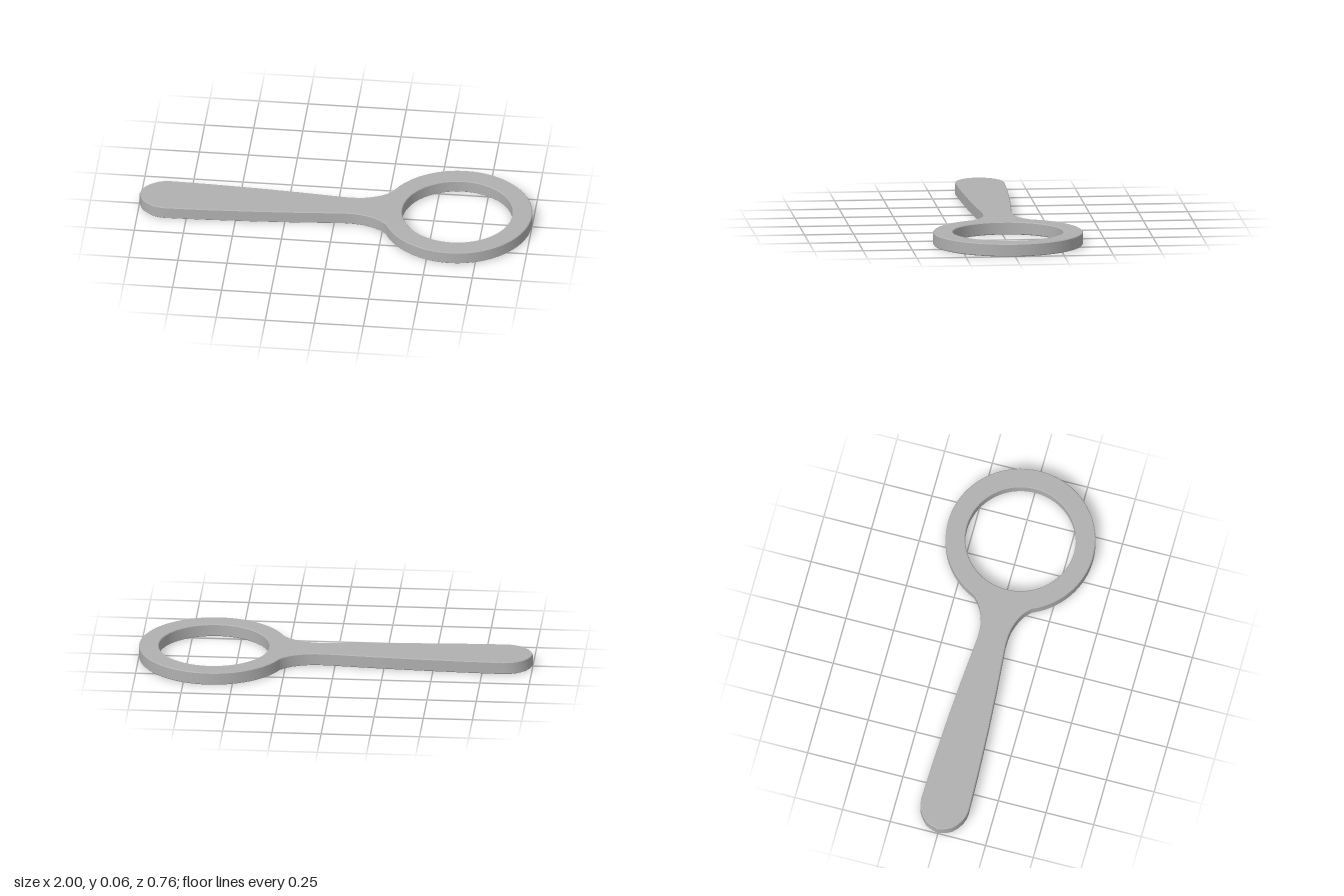
import * as THREE from 'three';
import { toCreasedNormals } from 'three/addons/utils/BufferGeometryUtils.js';

export function createModel() {
  const grey = new THREE.MeshStandardMaterial({ color: 0xb0b0b0 });
  grey.name = 'grey';

  const height = 0.065, bevel = 0.004;
  const ringX = 0.62, outerR = 0.38, innerR = 0.28;
  const joint = Math.PI - 0.41; // angle where the handle meets the ring

  // One half of the handle outline, from the ring to the butt
  const half = [
    [0.24, 0.122], [0.21, 0.104], [0.175, 0.09], [0.14, 0.08], [0.1, 0.075], [0.05, 0.074],
    [0, 0.078], [-0.2, 0.094], [-0.4, 0.107], [-0.65, 0.119], [-0.86, 0.125],
    [-0.89, 0.121], [-0.92, 0.111], [-0.95, 0.091], [-0.975, 0.067], [-0.988, 0.04],
  ];

  // Ring rim, upper handle edge, tip, then the mirrored lower edge
  const outline = new THREE.Shape();
  outline.absarc(ringX, 0, outerR, -joint, joint, false);
  half.forEach(([x, y]) => outline.lineTo(x, y));
  outline.lineTo(-1, 0);
  [...half].reverse().forEach(([x, y]) => outline.lineTo(x, -y));
  outline.closePath();

  const hole = new THREE.Path();
  hole.absarc(ringX, 0, innerR, 0, Math.PI * 2, true);
  outline.holes.push(hole);

  // Flat plate with finely chamfered edges
  const plate = new THREE.ExtrudeGeometry(outline, {
    depth: height - 2 * bevel,
    bevelThickness: bevel,
    bevelSize: bevel,
    bevelOffset: -bevel,
    bevelSegments: 1,
    curveSegments: 64,
  });
  plate.translate(0, 0, bevel);
  plate.rotateX(-Math.PI / 2);

  const body = new THREE.Mesh(toCreasedNormals(plate, 0.6), grey);
  body.name = 'ringAndHandle';

  const group = new THREE.Group();
  group.name = 'handledRing';
  group.add(body);
  return group;
}
